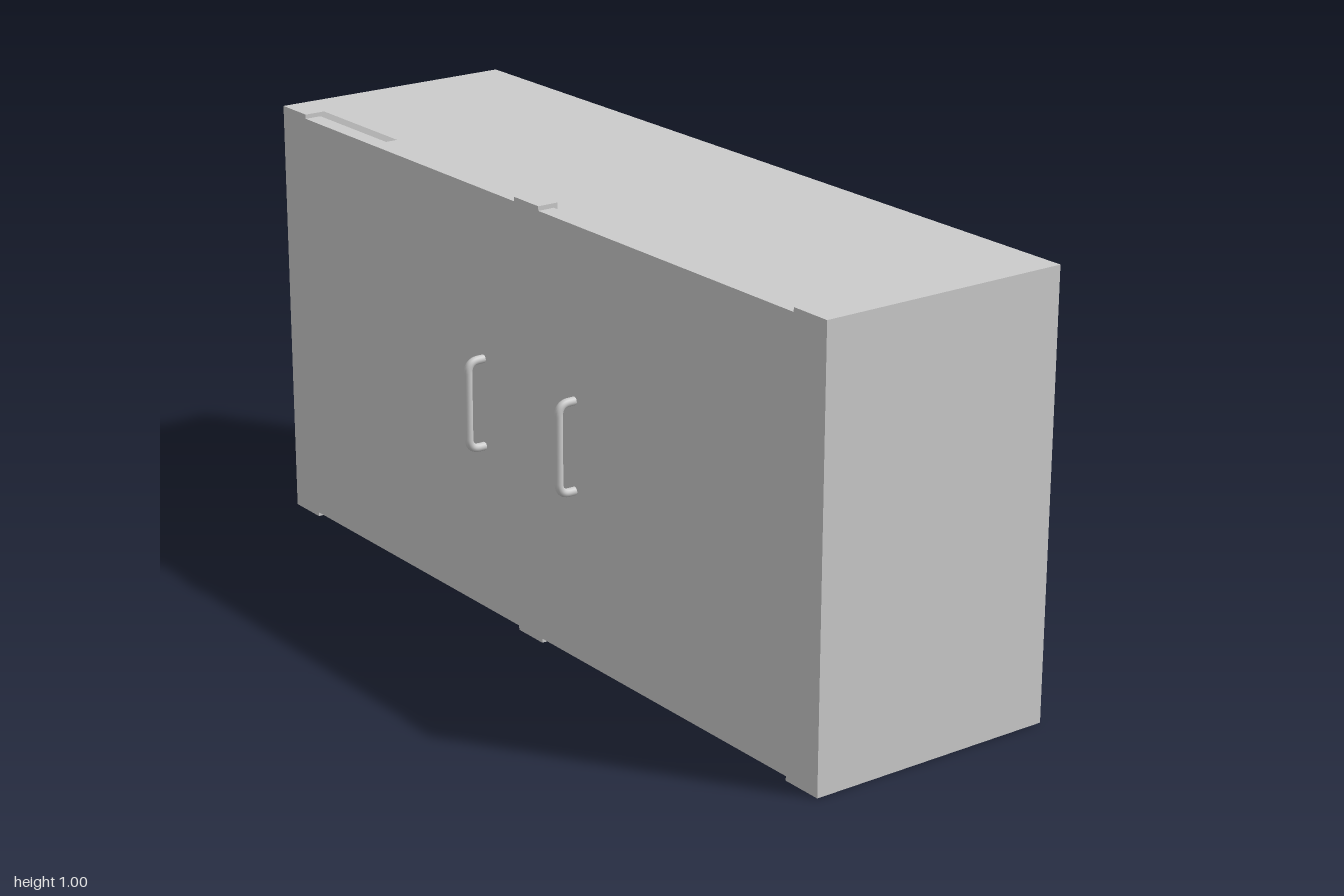
import * as THREE from 'three';

const FRONT = -0.275; // door face, looking along -x
const BACK = 0.325;

export function createModel() {
  const group = new THREE.Group();
  const solid = new THREE.MeshStandardMaterial({ color: 0xcccccc });
  const sheet = new THREE.MeshStandardMaterial({ color: 0xcccccc, side: THREE.DoubleSide });

  const add = (name, geometry, material = solid) => {
    const mesh = new THREE.Mesh(geometry, material);
    mesh.name = name;
    group.add(mesh);
    return mesh;
  };
  // Box given by its limits on each axis
  const box = (name, x0, x1, y0, y1, z0, z1) =>
    add(name, new THREE.BoxGeometry(x1 - x0, y1 - y0, z1 - z0))
      .position.set((x0 + x1) / 2, (y0 + y1) / 2, (z0 + z1) / 2);

  // Inner carcass, set in from the outer shell
  box('carcass', -0.225, 0.275, 0.1, 0.9, -0.9, 0.9);

  // Thin outer shell: top and two ends, open at the back and below
  const top = add('topPanel', new THREE.PlaneGeometry(BACK + 0.225, 2).rotateX(-Math.PI / 2), sheet);
  top.position.set((BACK - 0.225) / 2, 1, 0);
  for (const side of [-1, 1]) {
    const end = add('endPanel', new THREE.PlaneGeometry(BACK - FRONT, 1), sheet);
    end.position.set((BACK + FRONT) / 2, 0.5, side);
    if (side < 0) end.rotation.y = Math.PI;
  }

  // Front frame posts
  box('centrePost', FRONT, -0.225, 0, 1, -0.045, 0.045);
  box('cornerPost', FRONT, -0.225, 0, 1, 0.9, 1);
  box('cornerPost', FRONT, -0.225, 0, 1, -1, -0.9);

  // Handle path: two legs joined by a grip with rounded corners
  const x = -0.316, low = 0.398, high = 0.602, bend = 0.026;
  const v = (px, py) => new THREE.Vector3(px, py, 0);
  const path = new THREE.CurvePath();
  path.add(new THREE.LineCurve3(v(FRONT + 0.005, low), v(x + bend, low)));
  path.add(new THREE.QuadraticBezierCurve3(v(x + bend, low), v(x, low), v(x, low + bend)));
  path.add(new THREE.LineCurve3(v(x, low + bend), v(x, high - bend)));
  path.add(new THREE.QuadraticBezierCurve3(v(x, high - bend), v(x, high), v(x + bend, high)));
  path.add(new THREE.LineCurve3(v(x + bend, high), v(FRONT + 0.005, high)));
  const handleGeometry = new THREE.TubeGeometry(path, 80, 0.0095, 16);

  // Doors, leaving a narrow slot in front of the carcass, each with a handle
  for (const side of [-1, 1]) {
    const [z0, z1] = side > 0 ? [0.045, 0.9] : [-0.9, -0.045];
    box('door', FRONT, -0.235, 0.01, 0.99, z0, z1);
    add('handle', handleGeometry).position.z = side * 0.172;
  }
  return group;
}
